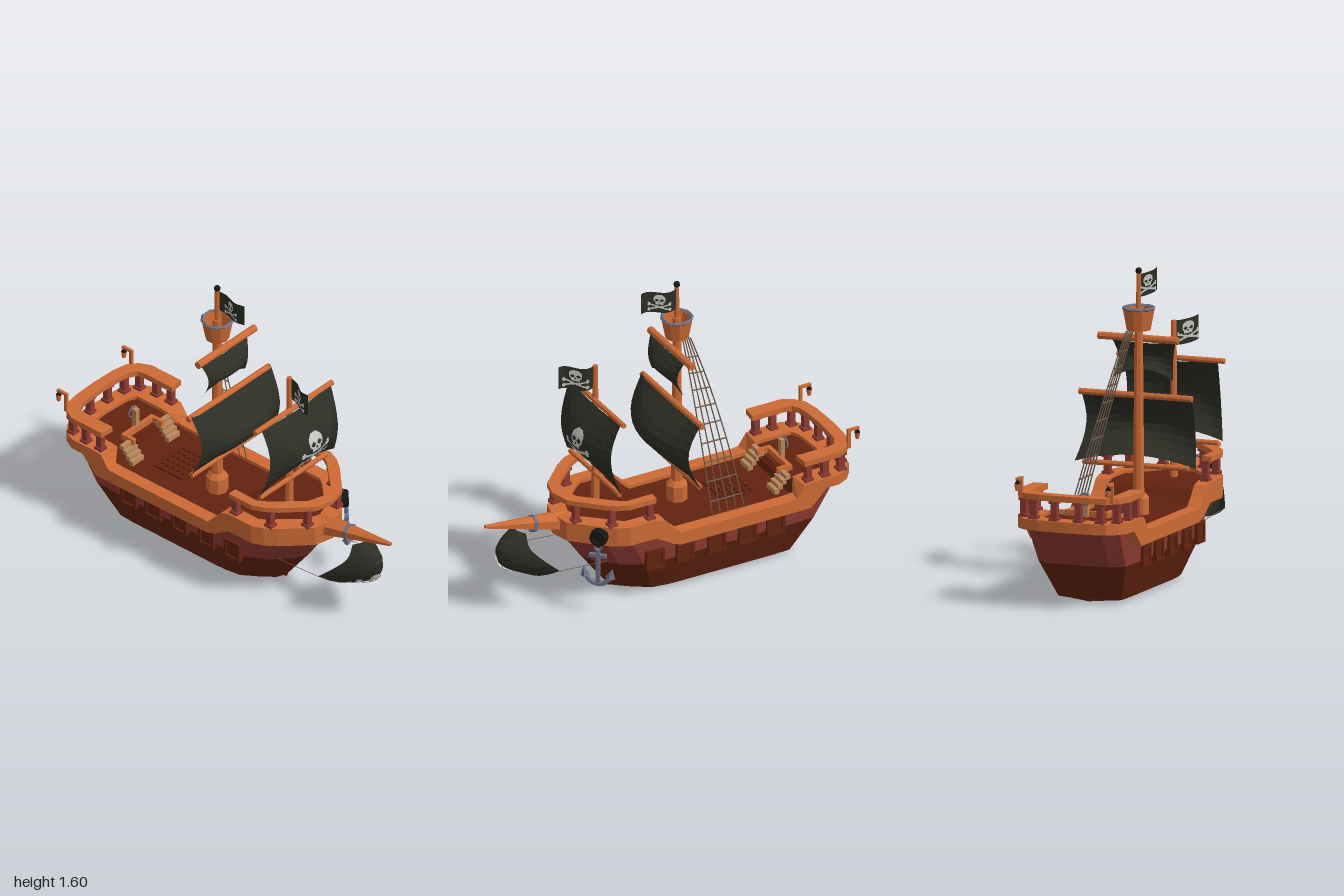
import * as THREE from 'three';

const mat = (name, color, side = THREE.FrontSide) =>
  Object.assign(new THREE.MeshStandardMaterial({ color, side }), { name });
const M = {
  orange: mat('orangeWood', 0xcc6a35), dark: mat('darkWood', 0x62230f, THREE.DoubleSide),
  red: mat('redWood', 0x8c3a32), sail: mat('blackCloth', 0x2d2e25, THREE.DoubleSide),
  bone: mat('bone', 0xc4c5c0, THREE.DoubleSide), iron: mat('iron', 0x6d7086),
  black: mat('blackIron', 0x171815), tan: mat('paleWood', 0xb98858), rope: mat('rope', 0x6f5a4a),
};
const V = (x, y, z) => new THREE.Vector3(x, y, z);
const lerp = THREE.MathUtils.lerp;

// Faceted surface from a rule f(i, j); keep(i, j) can leave cells out
function grid(nu, nv, f, keep = () => true) {
  const pts = [];
  for (let i = 0; i < nu; i++) for (let j = 0; j < nv; j++) {
    if (!keep(i, j)) continue;
    const a = f(i, j), b = f(i + 1, j), c = f(i + 1, j + 1), d = f(i, j + 1);
    pts.push(a, b, c, a, c, d);
  }
  const g = new THREE.BufferGeometry().setFromPoints(pts);
  g.computeVertexNormals();
  return g;
}

export function createModel() {
  const ship = new THREE.Group();
  ship.name = 'sailingShip';
  const add = (name, geo, material, parent = ship) => {
    let g = geo;
    if (g.index) { g = g.toNonIndexed(); g.computeVertexNormals(); }
    const m = new THREE.Mesh(g, material);
    m.name = name;
    parent.add(m);
    return m;
  };
  const box = (name, w, h, d, x, y, z, m, parent) => {
    const b = add(name, new THREE.BoxGeometry(w, h, d), m, parent);
    b.position.set(x, y, z);
    return b;
  };
  // Tapered round bar between two points
  const rod = (name, a, b, r0, r1, m, sides = 8, parent = ship) => {
    const c = add(name, new THREE.CylinderGeometry(r1, r0, a.distanceTo(b), sides), m, parent);
    c.position.copy(a).lerp(b, 0.5);
    c.quaternion.setFromUnitVectors(V(0, 1, 0), b.clone().sub(a).normalize());
    return c;
  };

  // Hull: half outlines (x, z) at three heights, mirrored into loops
  const outline = [
    [[0, -.94], [.18, -.93], [.25, -.86], [.25, -.71], [.25, -.4], [.25, .07], [.25, .2], [.245, .33], [.19, .45], [.09, .57], [0, .6]],
    [[0, -.80], [.17, -.79], [.235, -.74], [.24, -.62], [.24, -.4], [.24, .05], [.238, .14], [.23, .22], [.17, .33], [.08, .42], [0, .455]],
    [[0, -.66], [.12, -.655], [.17, -.64], [.175, -.55], [.175, -.4], [.175, 0], [.172, .06], [.16, .14], [.1, .23], [.05, .29], [0, .31]],
  ];
  const topY = [.42, .42, .42, .33, .33, .33, .4, .42, .42, .42, .42];
  const hullPoint = (i, level) => {
    const k = i <= 10 ? i : 20 - i, s = i <= 10 ? 1 : -1;
    const [x, z] = outline[Math.min(level, 2)][k];
    return V(level > 2 ? 0 : s * x, [topY[k], .21, .02, .005][level], z);
  };
  add('upperHull', grid(20, 1, (i, j) => hullPoint(i, j)), M.red);
  add('lowerHull', grid(20, 2, (i, j) => hullPoint(i, j + 1)), M.dark);

  // Gunwale rows: outer x, z, inner x, z, top, bottom
  const rows = [
    [0, -.97, 0, -.88, .455, .40], [.14, -.965, .1, -.875, .455, .40], [.22, -.95, .15, -.87, .455, .40],
    [.27, -.91, .19, -.85, .455, .40], [.3, -.85, .19, -.82, .455, .40], [.3, -.78, .19, -.78, .455, .40],
    [.3, -.69, .19, -.69, .455, .31], [.3, -.655, .19, -.645, .45, .31], [.3, -.61, .23, -.62, .385, .31],
    [.3, -.57, .23, -.57, .38, .31], [.3, .05, .23, .05, .38, .31], [.3, .1, .23, .1, .425, .33],
    [.3, .14, .23, .14, .475, .355], [.3, .19, .23, .19, .49, .385], [.3, .34, .23, .33, .49, .385],
    [.275, .4, .2, .37, .49, .385], [.23, .46, .16, .41, .49, .385], [.1, .59, .08, .5, .49, .385], [0, .615, 0, .53, .49, .385],
  ];
  const mirrored = (list) => list.map((r) => [-r[0], r[1], -r[2], ...r.slice(3)]).reverse();
  const band = (name, path, m) => {
    const n = path.length - 1;
    add(name, grid(n + 2, 4, (i, j) => {
      const [ox, oz, ix, iz, t, b] = path[Math.min(Math.max(i - 1, 0), n)];
      if (i === 0 || i === n + 2) return V((ox + ix) / 2, (t + b) / 2, (oz + iz) / 2);
      return [V(ix, b, iz), V(ix, t, iz), V(ox, t, oz), V(ox, b, oz)][j % 4];
    }), m);
  };
  band('gunwale', [...rows, ...mirrored(rows)], M.orange);
  add('deck', grid(rows.length - 1, 1, (i, j) => {
    const r = rows[i];
    return V(r[2] * (j ? 1.03 : -1.03), r[4] - .018, r[3]);
  }), M.dark);

  // Raised handrails and their posts
  const handrail = (list, t, b) => list.map(([ox, oz, ix, iz]) => [ox, oz, lerp(ox, ix, .7), lerp(oz, iz, .7), t, b]);
  const aft = handrail(rows.slice(0, 8), .585, .555);
  const fore = handrail(rows.slice(13), .617, .59);
  band('sternHandrail', [...mirrored(aft), ...aft], M.orange);
  band('bowHandrail', [...fore, ...mirrored(fore)], M.orange);
  const post = (x, z, y0, y1) => {
    box('railPost', .032, y1 - y0, .032, x, (y0 + y1) / 2, z, M.red);
    for (const y of [y0 + .01, y1 - .008]) box('railPostCollar', .046, .018, .046, x, y, z, M.red);
  };
  for (const s of [-1, 1]) {
    for (const [x, z] of [[.265, .21], [.235, .41], [.11, .545]]) post(s * x, z, .485, .592);
    for (const [x, z] of [[.265, -.69], [.265, -.785], [.25, -.885], [.18, -.925], [.065, -.935]]) post(s * x, z, .45, .557);

    // Stern lanterns
    box('lanternPost', .016, .1, .016, s * .245, .61, -.935, M.orange);
    box('lanternArm', .016, .012, .065, s * .245, .66, -.96, M.orange);
    rod('lantern', V(s * .245, .6, -.984), V(s * .245, .635, -.984), .01, .016, M.orange, 6);
    rod('lanternCap', V(s * .245, .635, -.984), V(s * .245, .655, -.984), .015, .004, M.black, 6);

    // Gun ports
    for (const z of [.17, 0, -.18, -.355, -.515]) {
      const port = new THREE.Group();
      port.name = 'gunPort';
      port.position.set(s * .243, .235, z);
      ship.add(port);
      box('portPane', .014, .1, .09, 0, 0, 0, M.dark, port);
      for (const e of [-1, 1]) {
        box('portFrame', .032, .016, .1, 0, e * .046, 0, M.dark, port);
        box('portFrame', .032, .1, .016, 0, 0, e * .043, M.dark, port);
      }
    }

    // Stairs to the stern deck
    for (let k = 0; k < 4; k++) box('stairStep', .085, .025, .025, s * .135, .375 + k * .022, -.565 - k * .021, M.tan);
    box('hatchFrameSide', .02, .05, .07, s * .105, .44, -.64, M.orange);
  }

  // Helm and companion hatch
  box('hatchFrameBack', .23, .05, .022, 0, .44, -.675, M.orange);
  for (let k = 0; k < 4; k++) box('hatchSlat', .17, .012, .008, 0, .425, -.612 - k * .015, M.dark);
  box('helmPost', .028, .12, .025, 0, .495, -.69, M.tan);
  add('helmWheel', new THREE.TorusGeometry(.03, .005, 5, 12), M.iron).position.set(0, .53, -.708);

  // Deck grating
  for (let k = 0; k < 6; k++) box('gratingBar', .2, .01, .008, 0, .367, -.47 + k * .034, M.dark);
  for (let k = 0; k < 6; k++) box('gratingBar', .008, .01, .178, -.1 + k * .04, .367, -.385, M.dark);

  // Masts, crow's nest and bowsprit
  const mx = -.04, mz = -.115, fx = -.03, fz = .355;
  rod('mainMast', V(mx, .36, mz), V(mx, 1.4, mz), .031, .022, M.orange);
  rod('mainMastBase', V(mx, .36, mz), V(mx, .445, mz), .056, .056, M.orange);
  rod('mainMastCollar', V(mx, .445, mz), V(mx, .47, mz), .056, .032, M.orange);
  rod('topMast', V(mx, 1.38, mz), V(mx, 1.585, mz), .014, .012, M.orange);
  add('mastBall', new THREE.SphereGeometry(.017, 8, 6), M.black).position.set(mx, 1.588, mz);
  rod('foreMast', V(fx, .46, fz), V(fx, 1.26, fz), .022, .014, M.orange);
  const nest = add('crowsNest', new THREE.LatheGeometry(
    [[0, 1.29], [.06, 1.29], [.08, 1.398], [.068, 1.398], [.052, 1.305], [0, 1.305]].map(([x, y]) => new THREE.Vector2(x, y)), 10), M.orange);
  nest.position.set(mx, 0, mz);
  const rim = add('nestRim', new THREE.TorusGeometry(.077, .009, 4, 10), M.iron);
  rim.rotation.x = Math.PI / 2;
  rim.position.set(mx, 1.4, mz);
  rod('bowsprit', V(0, .44, .54), V(0, .53, 1), .068, .012, M.orange, 6).scale.z = .8;
  rod('bowspritBand', V(0, .472, .722), V(0, .475, .738), .05, .048, M.iron, 6);

  // Yards
  const yard = (name, x0, x1, y, z, r = .016) => rod(name, V(x0, y, z), V(x1, y, z), r, r, M.orange);
  yard('foreYard', -.3, .28, 1.07, .365, .014);
  yard('foreLowerYard', -.265, .24, .655, .365, .013);
  yard('mainYard', -.31, .3, .95, -.07);
  yard('mainLowerYard', -.29, .28, .597, -.068, .014);
  yard('topYard', -.235, .195, 1.24, -.073, .019);

  // Sail surfaces: u from -1 to 1 across, t from 0 to 1 down
  const sailRule = (xc, z0, yT, yB, wT, wB, bulge) => (u, t) => {
    const c = 1 - u * u, s = Math.sin(Math.PI * t);
    return V(xc + u * (lerp(wT, wB, t) - .02 * s),
      lerp(yT, yB, t) + c * (.05 * t * t - .02 * (1 - t)), z0 + bulge * s * (.45 + .55 * c));
  };
  const curve = (...p) => new THREE.CatmullRomCurve3(p.map((q) => V(...q)));
  const centre = curve([0, .47, .83], [0, .39, .93], [0, .29, .915], [0, .2, .76]);
  const edge = curve([.06, .465, .8], [.095, .4, .8], [.135, .335, .745], [.173, .27, .67]);
  const bowRule = (u, t) => {
    const c = centre.getPoint(t), e = edge.getPoint(t), k = u * u;
    return V(e.x * u, lerp(c.y, e.y, k), lerp(c.z, e.z, k));
  };
  const cloth = (name, rule, nu = 8, nt = 8) =>
    add(name, grid(nu, nt, (i, j) => rule(2 * i / nu - 1, j / nt)), M.sail);
  const foreRule = sailRule(0, .372, 1.07, .665, .26, .287, .118);
  cloth('foreSail', foreRule);
  cloth('mainSail', sailRule(0, -.062, .965, .595, .3, .328, .15));
  cloth('topSail', sailRule(-.045, -.068, 1.235, 1.035, .175, .16, .07), 6, 6);
  cloth('bowSail', bowRule);
  const flagRule = (x0, z0, yT, yB, dx, len) => (u, t) => {
    const k = (u + 1) / 2;
    return V(x0 + dx * k + .013 * Math.sin(k * 6.28), lerp(yT, yB, t) - .008 * Math.sin(k * 5), z0 + len * k);
  };
  const foreFlag = flagRule(fx, fz + .01, 1.26, 1.135, -.06, .165);
  const mainFlag = flagRule(mx + .005, mz, 1.57, 1.455, -.02, .195);
  cloth('foreFlag', foreFlag, 14, 2);
  cloth('mainFlag', mainFlag, 14, 2);

  // Skull and crossed bones, cut from a fine grid laid over the cloth
  const inSkull = (x, y) => {
    const a = Math.abs(x);
    if (Math.hypot(a - .2, y - .3) < .13 || Math.hypot(x, (y - .08) * .8) < .07) return false;
    if (Math.hypot(x / .46, (y - .42) / .55) < 1 || (a < .28 && y > -.22 && y < .1)) return true;
    if (Math.abs(y + .5 - a * .38) < .1 && a < .88) return true;
    if (Math.abs(y + .5 + a * .38) < .1 && a < .88) return true;
    return [-.1, -.25, -.75, -.9].some((k) => Math.hypot(a - .86, y - k) < .13);
  };
  const skull = (name, rule, u0, t0, su, st, offset) => {
    const N = 40, c = (i) => 2 * i / N - 1;
    add(name, grid(N, N, (i, j) => rule(u0 + su * c(i), t0 - st * c(j)).add(offset),
      (i, j) => inSkull(c(i + .5), c(j + .5))), M.bone);
  };
  skull('foreSailSkull', foreRule, .08, .49, .42, .24, V(0, 0, .006));
  skull('bowSailSkull', bowRule, -.17, .7, .42, .18, V(0, -.004, .008));
  for (const s of [-1, 1]) {
    skull('foreFlagSkull', foreFlag, .05, .5, .72, .42, V(s * .004, 0, 0));
    skull('mainFlagSkull', mainFlag, 0, .5, .6, .42, V(s * .004, 0, 0));
    rod('bowSailRope', V(s * .173, .27, .67), V(s * .17, .25, .4), .002, .002, M.rope, 4);
  }

  // Shrouds with rungs on the left side
  const shrouds = [0, 1, 2, 3, 4].map((k) => new THREE.QuadraticBezierCurve3(
    V(mx + .02 + k * .006, 1.29, mz - .02 - k * .008),
    V(.1, .9, -.155 - k * .034), V(.235, .38, -.165 - k * .045)));
  for (const c of shrouds) add('shroud', new THREE.TubeGeometry(c, 10, .0035, 4), M.rope);
  for (let r = 1; r < 10; r++) for (let k = 0; k < 4; k++)
    rod('shroudRung', shrouds[k].getPoint(r / 10 + .03), shrouds[k + 1].getPoint(r / 10 + .03), .0045, .0045, M.rope, 4);

  // Anchor hung on the left bow
  const anchor = new THREE.Group();
  anchor.name = 'anchor';
  anchor.position.set(.232, 0, .482);
  anchor.rotation.y = Math.PI / 4;
  ship.add(anchor);
  const hawse = rod('hawsePlate', V(0, .44, -.02), V(0, .44, .012), .046, .046, M.black, 12, anchor);
  hawse.name = 'hawsePlate';
  add('hawseRing', new THREE.TorusGeometry(.034, .012, 6, 12), M.black, anchor).position.set(0, .44, .014);
  add('anchorRing', new THREE.TorusGeometry(.018, .005, 5, 10), M.iron, anchor).position.set(0, .39, .015);
  box('anchorShank', .022, .2, .02, 0, .28, .015, M.iron, anchor);
  box('anchorStock', .09, .018, .02, 0, .345, .015, M.iron, anchor);
  const arms = add('anchorArms', new THREE.TorusGeometry(.066, .014, 6, 10, Math.PI), M.iron, anchor);
  arms.rotation.z = Math.PI;
  arms.position.set(0, .25, .015);
  for (const s of [-1, 1]) rod('anchorFluke', V(s * .064, .225, .015), V(s * .074, .275, .015), .026, .002, M.iron, 4, anchor);

  return ship;
}
